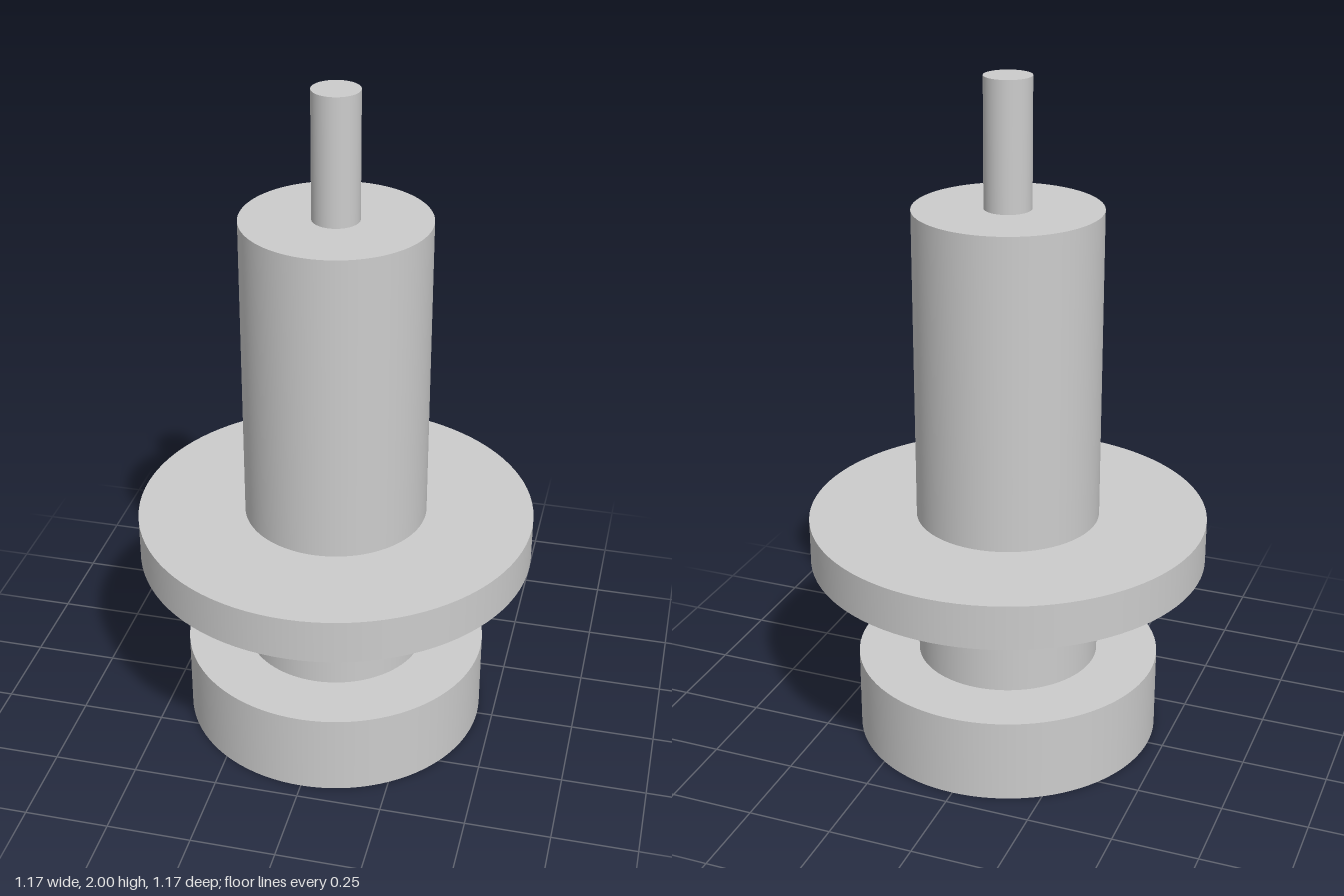
import * as THREE from 'three';

export function createModel() {
  const group = new THREE.Group();
  const lightGrey = new THREE.MeshStandardMaterial({ color: 0xcccccc });
  lightGrey.name = 'lightGrey';

  // Upright cylinder spanning two heights
  const disc = (name, radius, bottom, top) => {
    const mesh = new THREE.Mesh(new THREE.CylinderGeometry(radius, radius, top - bottom, 96), lightGrey);
    mesh.name = name;
    mesh.position.y = (bottom + top) / 2;
    group.add(mesh);
  };

  disc('base', 0.453, 0, 0.25);
  disc('lowerBody', 0.27, 0.25, 0.57);
  disc('flange', 0.587, 0.57, 0.703);
  disc('upperBody', 0.27, 0.703, 1.63);
  disc('topPin', 0.068, 1.63, 2);

  return group;
}
